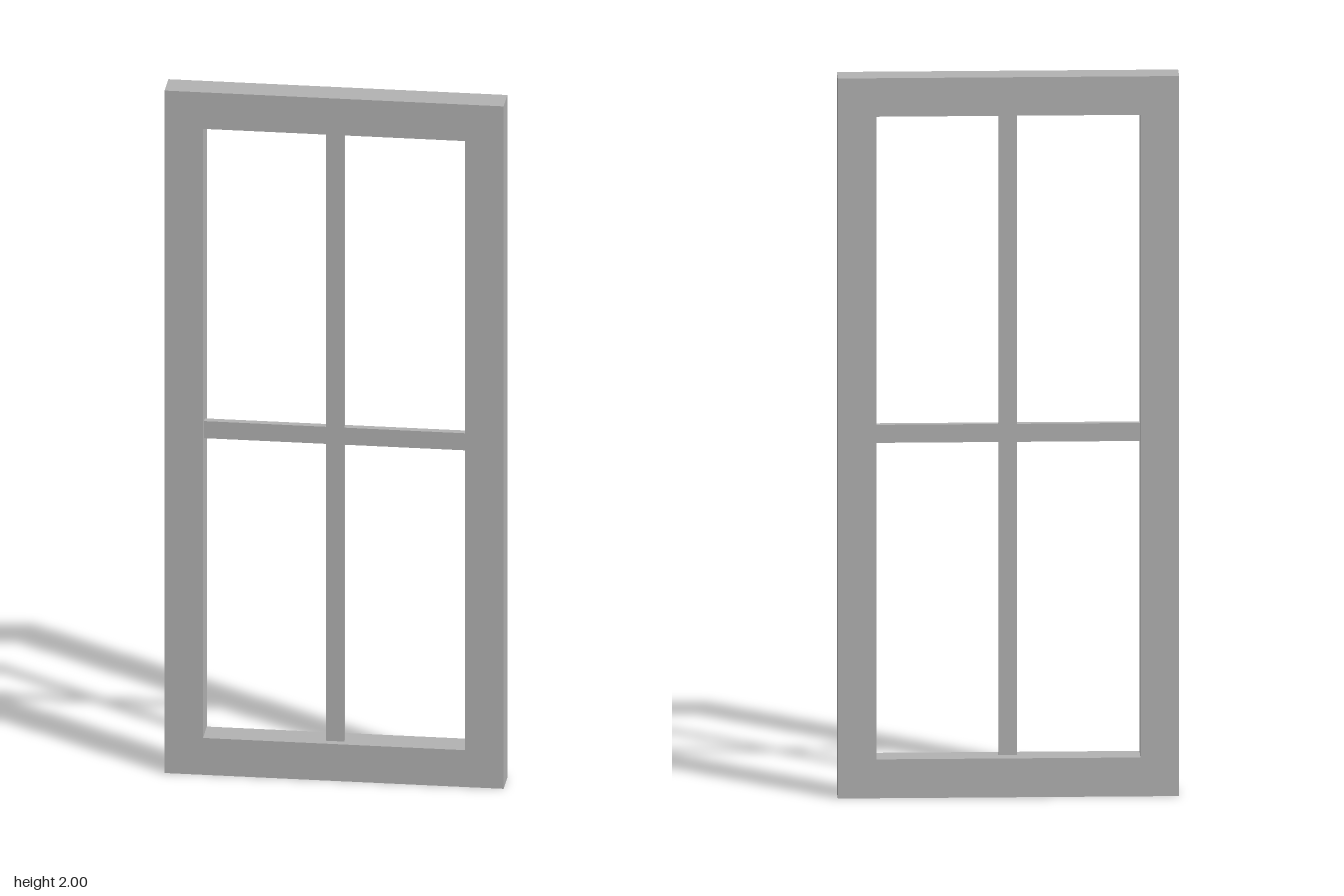
import * as THREE from 'three';

export function createModel() {
  const group = new THREE.Group();
  group.name = 'window';
  const grey = new THREE.MeshStandardMaterial({ color: 0xb2b2b2 });
  grey.name = 'frameGrey';

  const W = 0.463, H = 2, D = 0.082;          // outer half width, height, depth
  const w = 0.358, y0 = 0.108, y1 = 1.893;    // opening
  const bar = 0.025, barDepth = 0.02;         // glazing bar half width, depth
  const midY = 1.003;

  const rect = (target, x0, b, x1, t) =>
    target.moveTo(x0, b).lineTo(x1, b).lineTo(x1, t).lineTo(x0, t).closePath();

  const add = (name, shape, depth, z) => {
    const geometry = new THREE.ExtrudeGeometry(shape, { depth, bevelEnabled: false });
    const mesh = new THREE.Mesh(geometry, grey);
    mesh.name = name;
    mesh.position.z = z;
    group.add(mesh);
  };

  // Outer frame with its opening
  const frame = rect(new THREE.Shape(), -W, 0, W, H);
  frame.holes.push(rect(new THREE.Path(), -w, y0, w, y1));
  add('frame', frame, D, -D / 2);

  // Cross-shaped glazing bars, set a little forward of the middle
  const lo = midY - bar, hi = midY + bar;
  const cross = new THREE.Shape([
    [-bar, y0], [bar, y0], [bar, lo], [w, lo], [w, hi], [bar, hi],
    [bar, y1], [-bar, y1], [-bar, hi], [-w, hi], [-w, lo], [-bar, lo],
  ].map(([x, y]) => new THREE.Vector2(x, y)));
  add('glazingBars', cross, barDepth, 0);

  return group;
}
